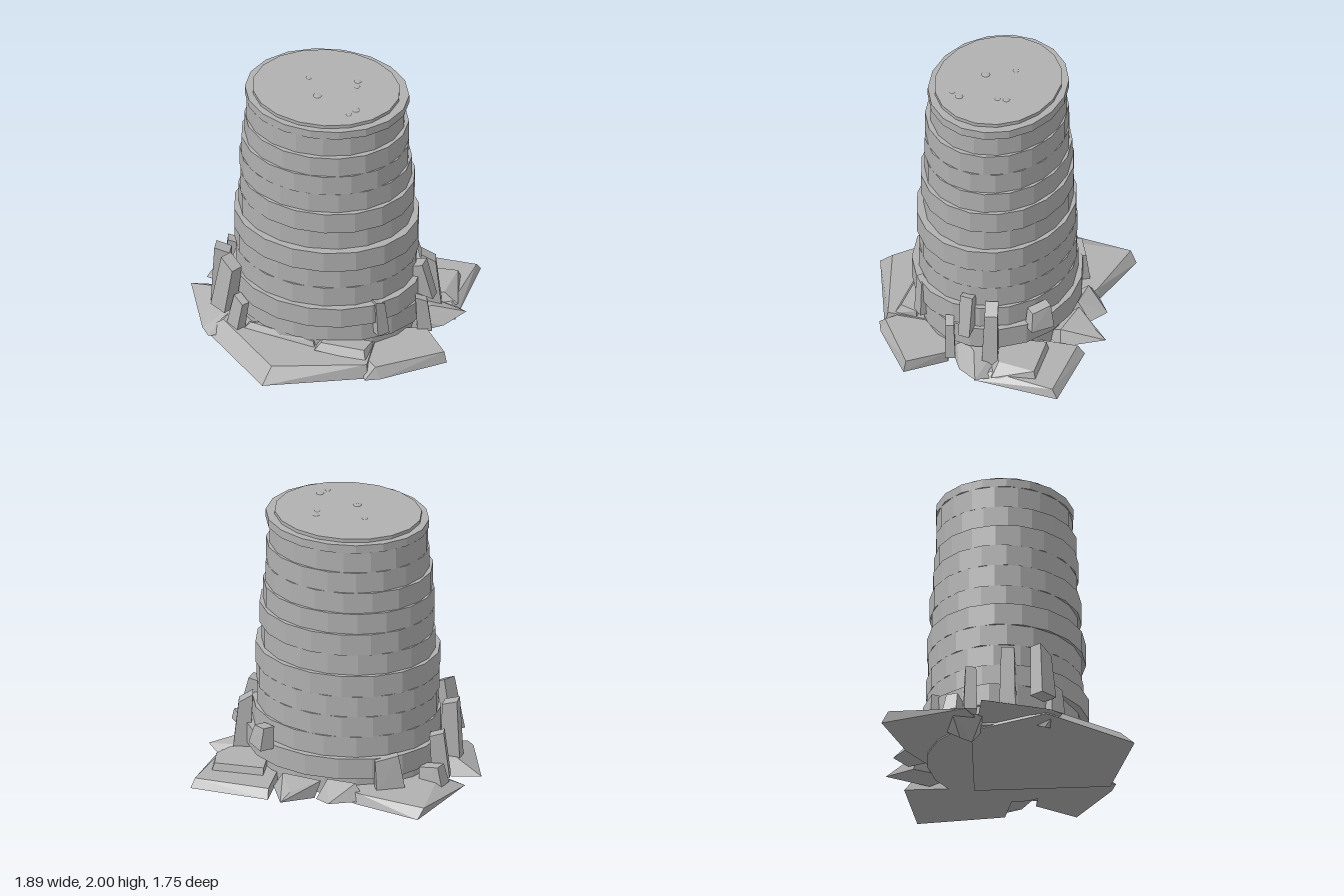
import * as THREE from 'three';
import { ConvexGeometry } from 'three/addons/geometries/ConvexGeometry.js';

export function createModel() {
  const model = new THREE.Group();
  const stone = new THREE.MeshStandardMaterial({ color: 0xb0b0b0 });
  stone.name = 'grey stone';
  stone.flatShading = true;

  function add(name, geometry) {
    const mesh = new THREE.Mesh(geometry, stone);
    mesh.name = name;
    model.add(mesh);
    return mesh;
  }

  // Angular rock through a handful of corner points
  const rock = (name, pts) =>
    add(name, new ConvexGeometry(pts.map(p => new THREE.Vector3(...p))));

  // Flat slab: outline [x, z] at the bottom, shorter inset outline on top
  function slab(name, y0, y1, bottom, top) {
    rock(name, [...bottom.map(([x, z]) => [x, y0, z]), ...top.map(([x, z]) => [x, y1, z])]);
  }

  // Upright leaning block: base centre, top centre, half sizes, turn
  function shard(name, [bx, by, bz], [tx, ty, tz], hw, hd, turn = 0, slant = 0.03) {
    const pts = [];
    for (const [i, j] of [[-1, -1], [1, -1], [1, 1], [-1, 1]]) {
      const dx = i * hw * Math.cos(turn) + j * hd * Math.sin(turn);
      const dz = -i * hw * Math.sin(turn) + j * hd * Math.cos(turn);
      pts.push([bx + dx, by, bz + dz], [tx + dx * 0.8, ty - (i + 1) * slant / 2, tz + dz * 0.8]);
    }
    rock(name, pts);
  }

  // Oval tower courses: bottom, top, x min, x max, z min, z max
  const courses = [
    [0.11, 0.25, -0.62, 0.64, -0.57, 0.47],
    [0.25, 0.40, -0.65, 0.69, -0.61, 0.48],
    [0.40, 0.55, -0.63, 0.66, -0.575, 0.53],
    [0.55, 0.70, -0.62, 0.625, -0.57, 0.49],
    [0.70, 0.85, -0.625, 0.63, -0.565, 0.485],
    [0.85, 1.005, -0.63, 0.64, -0.565, 0.505],
    [1.005, 1.155, -0.60, 0.595, -0.54, 0.455],
    [1.155, 1.31, -0.59, 0.61, -0.55, 0.475],
    [1.31, 1.46, -0.59, 0.585, -0.53, 0.45],
    [1.46, 1.61, -0.58, 0.57, -0.515, 0.455],
    [1.61, 1.76, -0.555, 0.565, -0.51, 0.445],
    [1.76, 1.91, -0.55, 0.54, -0.50, 0.415],
    [1.91, 1.97, -0.555, 0.565, -0.51, 0.425],
    [1.97, 1.995, -0.505, 0.505, -0.465, 0.385],
  ];
  courses.forEach(([y0, y1, xa, xb, za, zb], i) => {
    const g = new THREE.CylinderGeometry(1, 1, y1 - y0, 18);
    g.rotateY(i % 2 ? Math.PI / 18 : 0);
    g.scale((xb - xa) / 2, 1, (zb - za) / 2);
    g.translate((xa + xb) / 2, (y0 + y1) / 2, (za + zb) / 2);
    add('towerCourse' + (i + 1), g);
  });

  // Pebbles on the roof
  for (const [x, z, r] of [[-0.14, -0.12, 0.02], [0.19, -0.16, 0.025], [0.2, -0.1, 0.02],
    [-0.035, 0.06, 0.03], [0.255, 0.155, 0.027], [0.22, 0.215, 0.02]]) {
    const g = new THREE.SphereGeometry(r, 10, 6);
    g.scale(1, 0.25, 1);
    add('roofPebble', g).position.set(x, 1.994, z);
  }

  // Broken foundation slabs
  slab('frontSlab', 0.1, 0.2,
    [[-0.22, 0.87], [0.45, 0.62], [0.4, -0.3], [-0.55, -0.2], [-0.76, 0.34]],
    [[-0.18, 0.77], [0.44, 0.6], [0.4, -0.3], [-0.5, -0.2], [-0.62, 0.34]]);
  slab('backLeftSlab', 0.12, 0.19,
    [[-0.71, -0.79], [-0.87, -0.2], [-0.2, 0.0], [0.02, -0.55], [-0.24, -0.68]],
    [[-0.74, -0.74], [-0.7, -0.25], [-0.2, 0.0], [-0.02, -0.55], [-0.26, -0.66]]);
  slab('backRightSlab', 0.11, 0.17,
    [[0.35, -0.77], [0.9, -0.75], [0.87, -0.15], [0.4, 0.0]],
    [[0.36, -0.72], [0.88, -0.71], [0.82, -0.25], [0.4, -0.1]]);
  slab('backRightUpperSlab', 0.15, 0.22,
    [[0.45, -0.55], [0.81, -0.57], [0.86, -0.27], [0.5, -0.12]],
    [[0.45, -0.53], [0.79, -0.55], [0.76, -0.29], [0.5, -0.16]]);
  slab('frontRightSlab', 0.11, 0.19,
    [[0.72, 0.08], [0.93, 0.33], [0.54, 0.62], [0.44, 0.66], [0.2, 0.2]],
    [[0.73, 0.09], [0.91, 0.32], [0.5, 0.6], [0.4, 0.5], [0.2, 0.2]]);
  rock('rightSlab', [[0.94, 0.17, -0.18], [0.82, 0.14, -0.03], [0.5, 0.11, 0.15],
    [0.5, 0.11, -0.35], [0.8, 0.12, -0.3], [0.72, 0.24, -0.1], [0.5, 0.24, 0.1], [0.5, 0.24, -0.25]]);
  rock('leftSlab', [[-0.95, 0.14, -0.08], [-0.76, 0.13, 0.37], [-0.7, 0.12, 0.44],
    [-0.4, 0.12, 0.3], [-0.4, 0.12, -0.2], [-0.76, 0.21, 0.0], [-0.62, 0.21, 0.25], [-0.4, 0.22, 0]]);
  rock('backSlabRight', [[0.23, 0.16, -0.88], [0.36, 0.13, -0.6], [0.05, 0.12, -0.67],
    [0.2, 0.11, -0.4], [0.02, 0.23, -0.62], [0.3, 0.23, -0.58], [0.19, 0.2, -0.79]]);
  rock('backSlabLeft', [[-0.08, 0.15, -0.79], [-0.3, 0.13, -0.64], [0.03, 0.13, -0.7],
    [-0.1, 0.12, -0.4], [-0.22, 0.24, -0.61], [-0.02, 0.24, -0.6]]);

  // Low rubble against the front
  rock('frontRubbleRight', [[0.06, 0.21, 0.54], [0.42, 0.19, 0.56], [0.43, 0.2, 0.4], [0.06, 0.2, 0.4],
    [0.1, 0.26, 0.51], [0.4, 0.255, 0.52], [0.43, 0.25, 0.4], [0.1, 0.26, 0.4]]);
  rock('frontRubbleLeft', [[-0.47, 0.19, 0.4], [-0.45, 0.19, 0.3], [0.05, 0.19, 0.3], [0.05, 0.19, 0.5],
    [-0.42, 0.245, 0.38], [0.04, 0.235, 0.48], [0, 0.24, 0.3]]);

  // Pointed rocks under the base
  rock('undersideRockLeft', [[-0.78, 0.13, -0.3], [-0.5, 0.13, -0.38], [-0.48, 0.14, -0.12],
    [-0.72, 0.14, -0.1], [-0.58, 0, -0.19], [-0.6, 0.03, -0.27]]);
  rock('undersideRockRight', [[-0.72, 0.13, 0.4], [-0.55, 0.13, 0.2], [-0.45, 0.13, 0.36], [-0.62, 0.065, 0.31]]);

  // Upright shards leaning against the wall
  shard('frontLeftShard', [-0.63, 0.29, 0.3], [-0.58, 0.68, 0.28], 0.07, 0.055, -0.6, 0.06);
  shard('leftShard', [-0.7, 0.17, 0.07], [-0.69, 0.62, 0.07], 0.065, 0.055, 0.05);
  shard('frontLeftSmallShard', [-0.53, 0.17, 0.37], [-0.49, 0.43, 0.36], 0.06, 0.035, -0.7);
  shard('backLeftShard', [-0.7, 0.17, -0.19], [-0.67, 0.5, -0.19], 0.06, 0.045, 0.2);
  shard('backLeftLowShard', [-0.68, 0.17, -0.3], [-0.66, 0.3, -0.29], 0.09, 0.05, -0.25);
  shard('backLeftSmallShard', [-0.43, 0.17, -0.5], [-0.4, 0.42, -0.49], 0.1, 0.035, 0.5);
  shard('rightShard', [0.7, 0.17, -0.21], [0.67, 0.61, -0.21], 0.06, 0.055, 0.25, 0.06);
  rock('rightLeaningShard', [[0.76, 0.37, -0.08], [0.75, 0.37, 0.0], [0.62, 0.42, -0.09], [0.62, 0.42, 0.01],
    [0.69, 0.65, -0.08], [0.68, 0.65, 0.01], [0.61, 0.63, -0.08], [0.61, 0.63, 0.01]]);
  shard('rightLowShard', [0.71, 0.17, 0.07], [0.69, 0.45, 0.08], 0.05, 0.035, 0.3);
  shard('frontRightShard', [0.48, 0.3, 0.35], [0.46, 0.57, 0.35], 0.045, 0.03, 0.8);
  shard('backRightShard', [0.48, 0.37, -0.49], [0.46, 0.53, -0.48], 0.085, 0.05, -0.8);

  return model;
}
